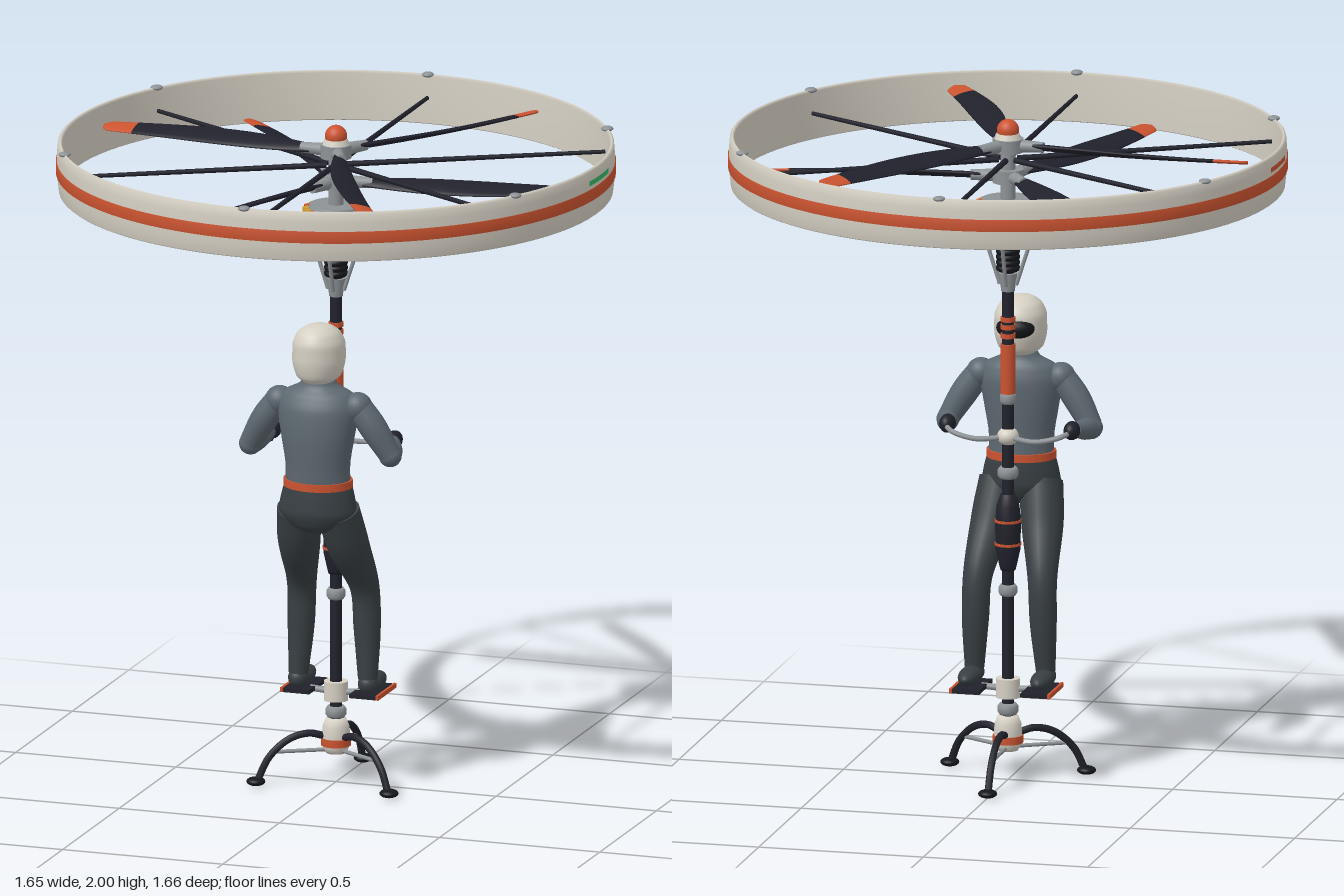
import * as THREE from 'three';

const mat = (name, color) => Object.assign(new THREE.MeshStandardMaterial({ color }), { name });
const V = (x, y, z) => new THREE.Vector3(x, y, z);

// Skin over a list of closed rings, capped at both ends
function loft(rings) {
  const n = rings[0].length, pos = [], idx = [];
  const push = (p) => pos.push(p.x, p.y, p.z) / 3 - 1;
  rings.forEach((r) => r.forEach(push));
  for (let i = 0; i < rings.length - 1; i++) {
    for (let j = 0; j < n; j++) {
      const a = i * n + j, b = i * n + (j + 1) % n;
      idx.push(a, b, a + n, b, b + n, a + n);
    }
  }
  [0, rings.length - 1].forEach((i) => {
    const c = push(rings[i].reduce((s, p) => s.add(p), V(0, 0, 0)).divideScalar(n));
    const first = rings[i].map(push);
    for (let j = 0; j < n; j++) {
      const a = first[j], b = first[(j + 1) % n];
      if (i) idx.push(c, a, b); else idx.push(c, b, a);
    }
  });
  const g = new THREE.BufferGeometry();
  g.setAttribute('position', new THREE.Float32BufferAttribute(pos, 3));
  g.setIndex(idx);
  g.computeVertexNormals();
  return g;
}

// Elliptical body rising in y, smoothed through [y, z, halfWidth, halfDepth] sections
function body(sections, n = 32) {
  const place = new THREE.CatmullRomCurve3(sections.map((s) => V(s[0], s[1], 0)));
  const size = new THREE.CatmullRomCurve3(sections.map((s) => V(s[2], s[3], 0)));
  return loft(Array.from({ length: 25 }, (_, i) => {
    const p = place.getPoint(i / 24), r = size.getPoint(i / 24);
    return Array.from({ length: n }, (_, j) => {
      const t = j / n * Math.PI * 2;
      return V(r.x * Math.sin(t), p.x, p.y + r.y * Math.cos(t));
    });
  }));
}

// Tapered limb through [x, y, z, radius] points
function limb(pts, steps = 20, n = 16) {
  const path = new THREE.CatmullRomCurve3(pts.map((p) => V(p[0], p[1], p[2])));
  const radius = new THREE.CatmullRomCurve3(pts.map((p, i) => V(p[3], i, 0)));
  const f = path.computeFrenetFrames(steps);
  return loft(Array.from({ length: steps + 1 }, (_, i) => {
    const u = path.getUtoTmapping(i / steps), c = path.getPoint(u), r = radius.getPoint(u).x;
    return Array.from({ length: n }, (_, j) => {
      const t = j / n * Math.PI * 2;
      return c.clone().addScaledVector(f.normals[i], r * Math.cos(t)).addScaledVector(f.binormals[i], r * Math.sin(t));
    });
  }));
}

// Rotor blade along +x between two radii; pitch sign sets which edge is high
function blade(r0, r1, pitchSign) {
  const chord = new THREE.CatmullRomCurve3([V(.08, .018, 0), V(.19, .036, 0), V(.35, .042, 0), V(.52, .037, 0), V(.74, .028, 0)]);
  const rings = [];
  for (let i = 0; i <= 16; i++) {
    const r = r0 + (r1 - r0) * Math.sin(i / 16 * Math.PI / 2), k = (r - .08) / .66;
    let h = chord.getPoint(k).y;
    if (r > .715) h *= Math.sqrt(Math.max(.01, 1 - ((r - .715) / .026) ** 2));
    const mid = .02 * Math.sin(Math.PI * k), p = pitchSign * (.42 - .2 * k);
    rings.push(Array.from({ length: 16 }, (_, j) => {
      const t = j / 16 * Math.PI * 2, y = (.009 - .004 * k) * Math.cos(t), z = h * Math.sin(t);
      return V(r, y * Math.cos(p) + z * Math.sin(p), mid + z * Math.cos(p) - y * Math.sin(p));
    }));
  }
  return loft(rings);
}

export function createModel() {
  const white = mat('warm white', 0xd6d0c4), orange = mat('orange', 0xcb5330), navy = mat('dark navy', 0x21212c),
    black = mat('black', 0x15161a), metal = mat('metal grey', 0x8d9295), suit = mat('slate suit', 0x5d6870),
    cloth = mat('charcoal trousers', 0x383f43), yellow = mat('yellow', 0xd39c2a), green = mat('green', 0x35b863);
  const model = new THREE.Group();
  model.name = 'rotorPoleFlyer';
  const group = (name) => { const g = new THREE.Group(); g.name = name; model.add(g); return g; };
  const add = (parent, name, geo, m, x = 0, y = 0, z = 0) => {
    const o = new THREE.Mesh(geo, m);
    o.name = name; o.position.set(x, y, z); parent.add(o);
    return o;
  };
  const cyl = (parent, name, m, r0, r1, y0, y1) =>
    add(parent, name, new THREE.CylinderGeometry(r1, r0, y1 - y0, 28), m, 0, (y0 + y1) / 2);
  const rod = (parent, name, m, a, b, ra, rb = ra) => {
    const o = add(parent, name, new THREE.CylinderGeometry(rb, ra, a.distanceTo(b), 12), m);
    o.position.copy(a).lerp(b, .5);
    o.quaternion.setFromUnitVectors(V(0, 1, 0), b.clone().sub(a).normalize());
    return o;
  };
  const ball = (parent, name, m, x, y, z, rx, ry = rx, rz = rx) => {
    const o = add(parent, name, new THREE.SphereGeometry(1, 24, 16), m, x, y, z);
    o.scale.set(rx, ry, rz);
    return o;
  };
  const lathe = (pts, n = 32) => new THREE.LatheGeometry(pts.map((p) => new THREE.Vector2(p[0], p[1])), n);
  const polar = (r, deg, y) => V(r * Math.cos(deg * Math.PI / 180), y, r * Math.sin(deg * Math.PI / 180));

  // Guard ring with stripe, spokes, bolts and side marker lights
  const ring = group('guardRing');
  add(ring, 'ringShell', lathe([[.806, 1.803], [.811, 1.8], [.816, 1.804], [.82, 1.84], [.822, 1.88], [.821, 1.92],
    [.819, 1.945], [.812, 1.952], [.805, 1.945], [.806, 1.803]], 96), white);
  add(ring, 'ringStripe', lathe([[.819, 1.857], [.8245, 1.858], [.8245, 1.893], [.819, 1.894]], 96), orange);
  [[green, Math.PI / 2, 'greenMarker'], [orange, -Math.PI / 2, 'orangeMarker']].forEach(([m, a, name]) =>
    add(ring, name, new THREE.CylinderGeometry(.825, .825, .015, 12, 1, true, a - .1, .2), m, 0, 1.914));
  for (let a = 30; a < 390; a += 60) {
    rod(ring, 'spoke', navy, polar(.03, a, 1.88), polar(.81, a, 1.88), .009, .006);
    ball(ring, 'rimBolt', metal, ...polar(.812, a, 1.95).toArray(), .018, .008, .018);
  }

  // Two counter-turning three-blade rotors
  const rotors = group('rotors');
  [[1.83, -9.6, -1], [1.922, -56.7, 1]].forEach(([y, start, pitch]) => {
    cyl(rotors, 'rotorHub', metal, .046, .046, y - .02, y + .02);
    for (let k = 0; k < 3; k++) {
      const arm = new THREE.Group();
      arm.name = 'bladeArm';
      arm.position.y = y;
      arm.rotation.y = -(start + 120 * k) * Math.PI / 180;
      rotors.add(arm);
      add(arm, 'blade', blade(.08, .645, pitch), navy);
      add(arm, 'bladeTip', blade(.645, .74, pitch), orange);
      rod(arm, 'bladeGrip', metal, V(.03, 0, 0), V(.11, 0, 0), .02, .016);
    }
  });
  cyl(rotors, 'rotorShaft', metal, .022, .022, 1.75, 1.95);
  cyl(rotors, 'hubCollar', white, .04, .034, 1.942, 1.958);
  ball(rotors, 'hubDome', orange, 0, 1.967, 0, .033);

  // Motor drum ringed by cells
  const motor = group('motor');
  cyl(motor, 'motorCore', navy, .075, .075, 1.67, 1.75);
  cyl(motor, 'motorTop', metal, .084, .078, 1.745, 1.76);
  cyl(motor, 'motorPlate', orange, .106, .106, 1.656, 1.676);
  cyl(motor, 'motorUnderside', white, .06, .1, 1.638, 1.656);
  for (let k = 0; k < 18; k++) {
    const p = polar(.085, k * 20, 1.714);
    add(motor, 'cell', new THREE.CylinderGeometry(.0135, .0135, .074, 14), k % 3 ? yellow : orange, p.x, p.y, p.z);
  }
  add(motor, 'sensorBox', new THREE.BoxGeometry(.03, .036, .03), black, 0, 1.66, -.103);
  add(motor, 'sensorHood', new THREE.BoxGeometry(.045, .05, .008), black, 0, 1.66, -.118);
  for (let k = 0; k < 6; k++) {
    const t = add(motor, 'bellows', new THREE.TorusGeometry(.026, .01, 10, 24), black, 0, 1.55 + k * .017);
    t.rotation.x = Math.PI / 2;
  }
  for (let a = 0; a < 360; a += 90) rod(motor, 'controlLink', metal, polar(.025, a, 1.5), polar(.072, a, 1.645), .006);
  cyl(motor, 'neckCollar', metal, .02, .028, 1.48, 1.535);

  // Central pole with grips, collars and battery bulb
  const pole = group('pole');
  cyl(pole, 'poleTube', navy, .018, .018, .18, 1.64);
  cyl(pole, 'orangeSleeve', orange, .022, .022, 1.17, 1.32);
  [1.345, 1.372, 1.395].forEach((y) => cyl(pole, 'sleeveBand', orange, .022, .022, y - .007, y + .007));
  [[1.155, .024], [.93, .031], [.575, .028], [.215, .031]].forEach(([y, r]) =>
    add(pole, 'collar', lathe([[0, y - .017], [r * .8, y - .017], [r, y - .008], [r, y + .008], [r * .8, y + .017], [0, y + .017]]), metal));
  add(pole, 'batteryBulb', lathe([[0, .635], [.022, .635], [.026, .65], [.037, .7], [.038, .78], [.034, .83], [.022, .865], [0, .865]]), navy);
  [.715, .785].forEach((y) => cyl(pole, 'bulbBand', orange, .0395, .0395, y - .004, y + .004));
  ball(pole, 'barClamp', white, 0, 1.04, 0, .032, .028, .034);
  cyl(pole, 'pegBlock', white, .036, .036, .25, .308);

  // Handlebar, grips and foot pegs
  const controls = group('controls');
  for (const s of [1, -1]) {
    const bar = new THREE.CatmullRomCurve3([V(0, 1.04, -.01), V(s * .09, 1.035, -.035), V(s * .16, 1.05, -.03), V(s * .19, 1.06, .005), V(s * .19, 1.045, .045)]);
    add(controls, 'handlebar', new THREE.TubeGeometry(bar, 28, .008, 10), metal);
    rod(controls, 'grip', navy, V(s * .19, 1.063, .0), V(s * .19, 1.042, .05), .012);
    rod(controls, 'pegArm', metal, V(s * .02, .276, 0), V(s * .08, .28, 0), .01);
    add(controls, 'footPeg', new THREE.BoxGeometry(.085, .012, .16), navy, s * .105, .281, -.02);
    add(controls, 'pegEdge', new THREE.BoxGeometry(.008, .014, .162), orange, s * .149, .282, -.02);
  }

  // Landing base with three arched legs
  const base = group('landingBase');
  add(base, 'baseBody', lathe([[0, .09], [.03, .09], [.038, .105], [.042, .13], [.04, .17], [.03, .195], [0, .195]]), white);
  cyl(base, 'baseBand', orange, .045, .045, .113, .136);
  for (const a of [30, 150, 270]) {
    const arch = new THREE.CatmullRomCurve3([[.03, .14], [.08, .152], [.14, .137], [.2, .085], [.235, .015]].map(([r, y]) => polar(r, a, y)));
    add(base, 'landingLeg', new THREE.TubeGeometry(arch, 24, .011, 10), navy);
    rod(base, 'legBrace', metal, polar(.03, a, .1), polar(.185, a, .1), .006);
    ball(base, 'footPad', black, ...polar(.24, a, .013).toArray(), .028, .013, .028);
  }

  // Pilot, facing the pole
  const pilot = group('pilot');
  add(pilot, 'torso', body([[.94, .157, .098, .08], [1.0, .16, .097, .08], [1.1, .16, .112, .084], [1.18, .156, .124, .08],
    [1.225, .152, .108, .064], [1.25, .15, .06, .046], [1.28, .15, .04, .04]]), suit);
  add(pilot, 'hips', body([[.808, .165, .045, .04], [.83, .162, .09, .068], [.87, .16, .118, .084], [.91, .158, .112, .084], [.955, .157, .1, .081]]), cloth);
  add(pilot, 'belt', body([[.942, .157, .104, .085], [.953, .157, .104, .085], [.965, .157, .104, .085]]), orange);
  add(pilot, 'helmet', body([[1.262, .152, .045, .055], [1.28, .152, .066, .074], [1.33, .15, .078, .087], [1.375, .15, .077, .087],
    [1.41, .152, .061, .07], [1.428, .154, .034, .04], [1.433, .155, .004, .004]]), white);
  ball(pilot, 'visor', black, 0, 1.347, .088, .058, .034, .039);
  for (const s of [1, -1]) {
    ball(pilot, 'shoulder', suit, s * .122, 1.192, .153, .043);
    add(pilot, 'upperArm', limb([[s * .12, 1.2, .153, .038], [s * .17, 1.13, .15, .041], [s * .218, 1.05, .14, .033]]), suit);
    ball(pilot, 'elbow', suit, s * .218, 1.047, .138, .034);
    add(pilot, 'forearm', limb([[s * .218, 1.045, .138, .033], [s * .207, 1.052, .09, .031], [s * .192, 1.062, .04, .021]]), suit);
    ball(pilot, 'glove', navy, s * .189, 1.063, .02, .024, .028, .034);
    add(pilot, 'leg', limb([[s * .062, .87, .155, .064], [s * .076, .76, .11, .063], [s * .098, .61, .025, .044],
      [s * .103, .48, .016, .04], [s * .108, .33, .025, .029]], 28, 20), cloth);
    ball(pilot, 'shoe', cloth, s * .11, .313, -.018, .033, .027, .075);
    ball(pilot, 'heel', cloth, s * .109, .315, .025, .03, .03, .032);
  }
  return model;
}
